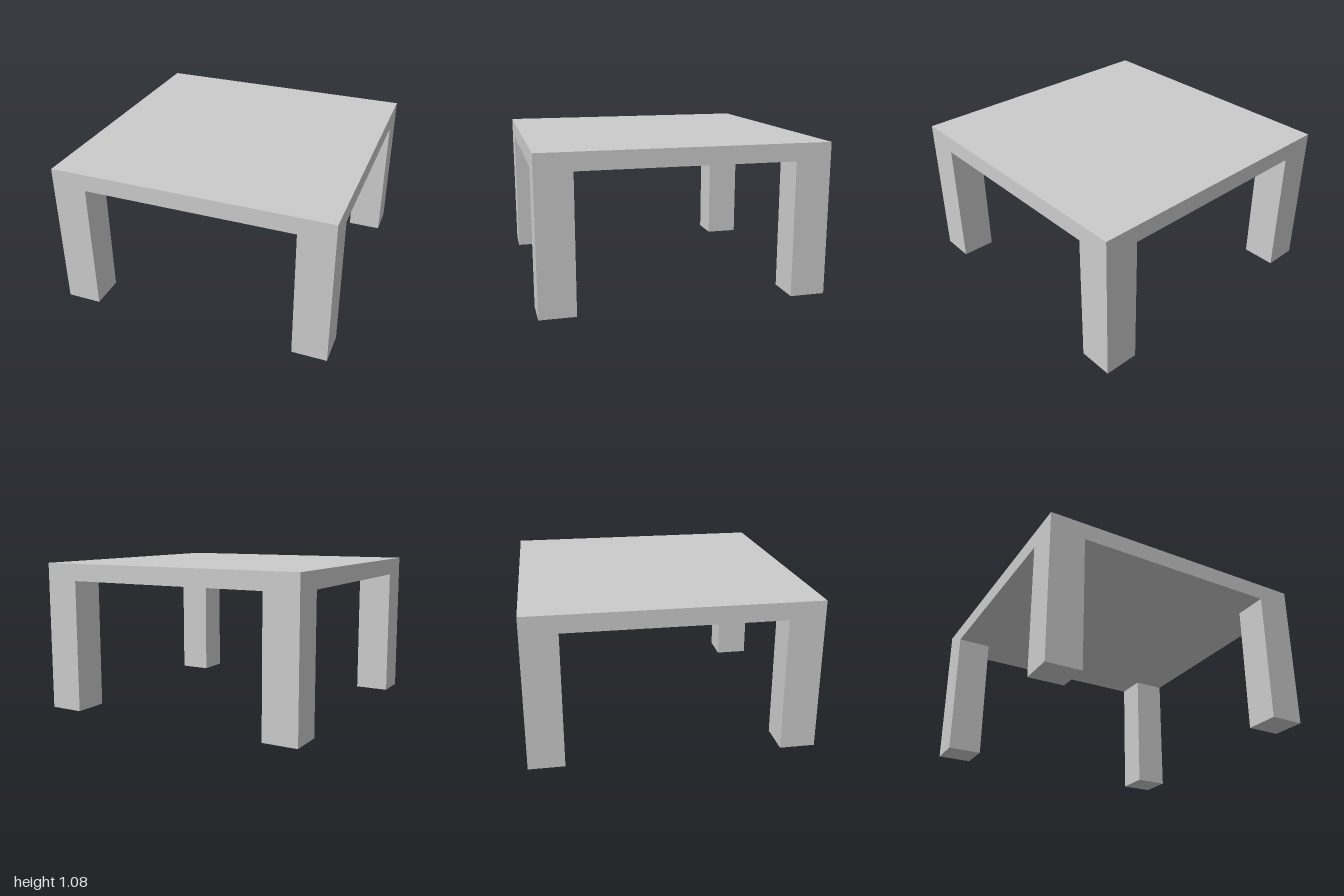
import * as THREE from 'three';

const SIZE = 2, HEIGHT = 1.077, LEG_HEIGHT = 0.954, LEG_WIDTH = 0.25;

export function createModel() {
  const table = new THREE.Group();
  table.name = 'table';
  const material = new THREE.MeshStandardMaterial({ color: 0xcccccc, flatShading: true });

  // Square slab top
  const thickness = HEIGHT - LEG_HEIGHT;
  const top = new THREE.Mesh(new THREE.BoxGeometry(SIZE, thickness, SIZE), material);
  top.name = 'tableTop';
  top.position.y = LEG_HEIGHT + thickness / 2;
  table.add(top);

  // Four square legs, flush with the corners of the top
  const legGeometry = new THREE.BoxGeometry(LEG_WIDTH, LEG_HEIGHT, LEG_WIDTH);
  const offset = (SIZE - LEG_WIDTH) / 2;
  for (const [zName, z] of [['front', 1], ['back', -1]]) {
    for (const [xName, x] of [['Left', 1], ['Right', -1]]) {
      const leg = new THREE.Mesh(legGeometry, material);
      leg.name = `${zName}${xName}Leg`;
      leg.position.set(x * offset, LEG_HEIGHT / 2, z * offset);
      table.add(leg);
    }
  }
  return table;
}
